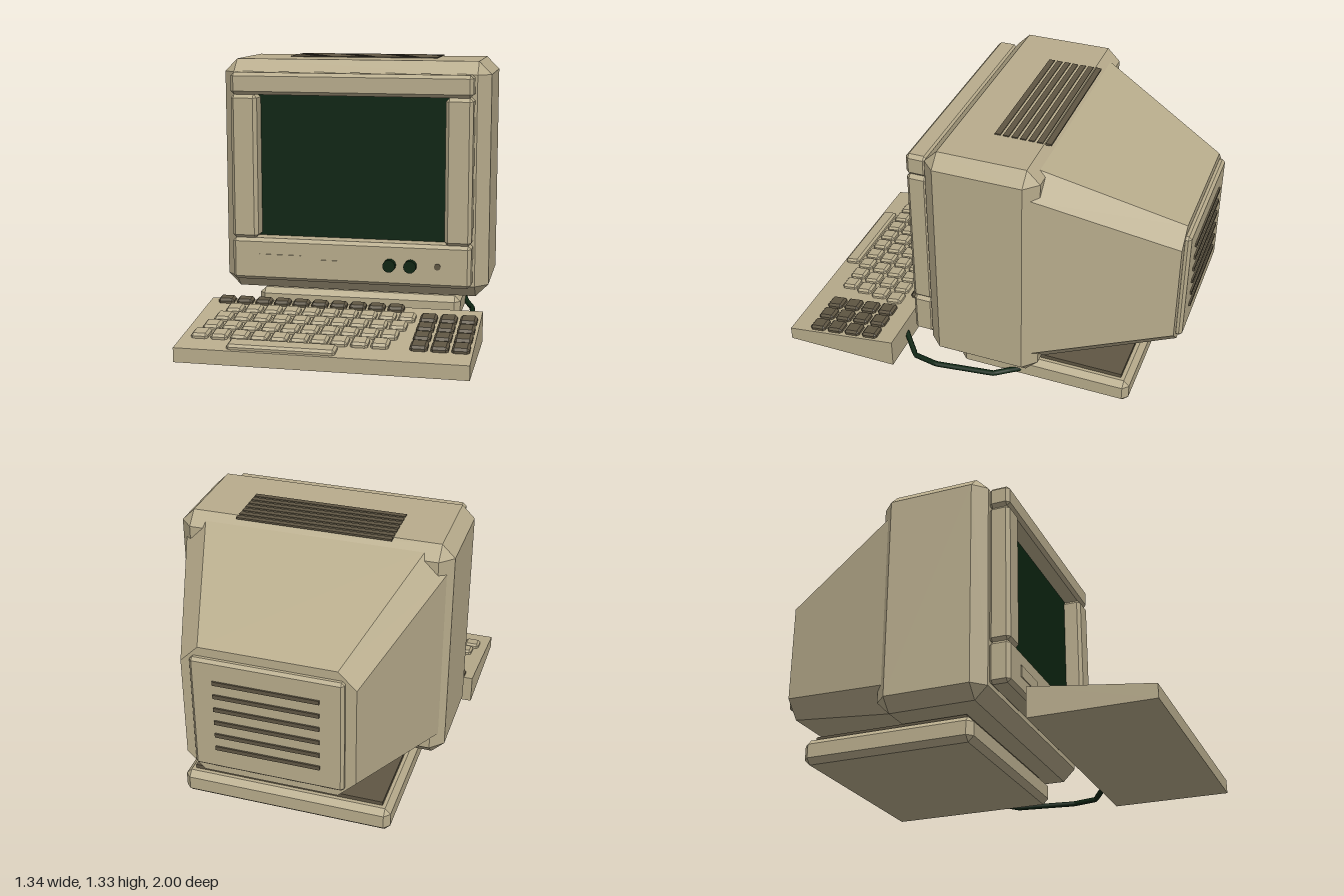
import * as THREE from 'three';
import { ConvexGeometry } from 'three/addons/geometries/ConvexGeometry.js';

const mat = (name, color) => {
  const m = new THREE.MeshStandardMaterial({ color });
  m.name = name;
  return m;
};
const hull = (pts) => new ConvexGeometry(pts.map((p) => new THREE.Vector3(...p)));

// Box with every edge bevelled by c
function bevelBox(w, h, d, c) {
  const pts = [];
  for (const sx of [-1, 1]) for (const sy of [-1, 1]) for (const sz of [-1, 1]) {
    const x = w / 2, y = h / 2, z = d / 2;
    pts.push([sx * x, sy * (y - c), sz * (z - c)]);
    pts.push([sx * (x - c), sy * y, sz * (z - c)]);
    pts.push([sx * (x - c), sy * (y - c), sz * z]);
  }
  return hull(pts);
}

// Octagonal outline at depth z, corners cut by c
function octagon(x, y0, y1, c, z) {
  const pts = [];
  for (const s of [-1, 1]) {
    pts.push([s * x, y0 + c, z], [s * (x - c), y0, z], [s * x, y1 - c, z], [s * (x - c), y1, z]);
  }
  return pts;
}

export function createModel() {
  const beige = mat('beige plastic', 0xb8ac8c);
  const brown = mat('dark brown plastic', 0x5f5643);
  const green = mat('dark green', 0x0c2411);
  const model = new THREE.Group();
  model.name = 'desktopComputer';

  const add = (parent, name, geometry, material, x = 0, y = 0, z = 0) => {
    const mesh = new THREE.Mesh(geometry, material);
    mesh.name = name;
    mesh.position.set(x, y, z);
    parent.add(mesh);
    return mesh;
  };
  // Place a box by its limits, bevelled when c > 0
  const span = (parent, name, material, [x0, x1], [y0, y1], [z0, z1], c = 0) => {
    const s = [x1 - x0, y1 - y0, z1 - z0];
    const g = c ? bevelBox(...s, c) : new THREE.BoxGeometry(...s);
    return add(parent, name, g, material, (x0 + x1) / 2, (y0 + y1) / 2, (z0 + z1) / 2);
  };
  const group = (name) => {
    const g = new THREE.Group();
    g.name = name;
    model.add(g);
    return g;
  };

  // Stand
  const stand = group('stand');
  span(stand, 'standBase', beige, [-0.525, 0.525], [0, 0.125], [-0.787, 0.093], 0.028);
  span(stand, 'standPlate', brown, [-0.48, 0.48], [0.12, 0.145], [-0.74, 0.05]);
  span(stand, 'swivel', brown, [-0.35, 0.35], [0.14, 0.17], [-0.28, 0.02]);

  // Monitor case and tapering rear
  const monitor = group('monitor');
  span(monitor, 'case', beige, [-0.672, 0.672], [0.15, 1.32], [-0.35, 0.207], 0.063);
  add(monitor, 'rearHousing', hull([
    ...octagon(0.645, 0.18, 1.29, 0.105, -0.31),
    ...octagon(0.41, 0.325, 1.0, 0.085, -0.963),
  ]), beige);
  span(monitor, 'rearPanel', beige, [-0.36, 0.36], [0.37, 0.957], [-0.992, -0.95], 0.014);
  for (let i = 0; i < 6; i++) {
    const y = 0.488 + i * 0.0714;
    span(monitor, 'rearSlot', brown, [-0.25, 0.25], [y - 0.01, y + 0.01], [-1, -0.991]);
  }
  for (let i = 0; i < 7; i++) {
    const z = -0.06 - i * 0.0412;
    span(monitor, 'topVent', brown, [-0.38, 0.38], [1.316, 1.325], [z - 0.014, z + 0.014]);
  }

  // Screen and the four bars around it
  span(monitor, 'screen', green, [-0.5, 0.5], [0.42, 1.17], [0.2, 0.22]);
  const depth = [0.203, 0.31];
  span(monitor, 'topBezel', beige, [-0.6, 0.6], [1.153, 1.262], depth, 0.017);
  span(monitor, 'bottomBezel', beige, [-0.6, 0.6], [0.223, 0.436], depth, 0.017);
  for (const s of [-1, 1]) {
    const x = s < 0 ? [-0.6, -0.468] : [0.468, 0.6];
    span(monitor, 'sideBezel', beige, x, [0.434, 1.153], depth, 0.017);
  }

  // Front controls
  span(monitor, 'controlCover', beige, [-0.46, -0.245], [0.3, 0.357], [0.307, 0.315]);
  span(monitor, 'powerLabel', beige, [-0.148, -0.06], [0.321, 0.339], [0.307, 0.315]);
  const knob = (name, x, r, z1, material) => {
    const g = new THREE.CylinderGeometry(r, r, z1 - 0.3, 16).rotateX(Math.PI / 2);
    add(monitor, name, g, material, x, 0.33, (z1 + 0.3) / 2);
  };
  knob('knob', 0.202, 0.031, 0.344, green);
  knob('knob', 0.305, 0.031, 0.344, green);
  knob('button', 0.437, 0.016, 0.316, brown);

  // Keyboard wedge
  const keyboard = group('keyboard');
  const wedge = [];
  for (const x of [-0.672, 0.672]) {
    wedge.push([x, 0, 1], [x, 0.068, 1], [x, 0, 0.413], [x, 0.148, 0.413]);
  }
  add(keyboard, 'keyboardCase', hull(wedge), beige);

  // Keys follow the slope of the wedge
  const tilt = Math.atan2(0.08, 0.587);
  const key = (name, geometry, material, x, z) => {
    const y = 0.068 + (1 - z) * 0.1363;
    add(keyboard, name, geometry, material, x, y, z).rotation.x = tilt;
  };
  const keyCap = bevelBox(0.08, 0.046, 0.084, 0.011);
  const shortCap = bevelBox(0.08, 0.046, 0.063, 0.011);
  const rows = [[-0.513, 0.55], [-0.538, 0.65], [-0.562, 0.75], [-0.586, 0.848]];
  for (let i = 0; i < 10; i++) {
    key('functionKey', shortCap, brown, -0.586 + i * 0.0938, 0.446);
    for (const [x, z] of rows) key('key', keyCap, beige, x + i * 0.0934, z);
  }
  for (const [, z] of rows) {
    for (const x of [0.43, 0.524, 0.618]) key('keypadKey', keyCap, brown, x, z);
  }
  key('spaceBar', bevelBox(0.5, 0.046, 0.08, 0.011), beige, -0.178, 0.946);

  // Cable from keyboard to stand
  const path = new THREE.CurvePath();
  const points = [
    [0.48, 0.065, 0.42], [0.585, 0.022, 0.325], [0.607, 0.02, 0.2],
    [0.57, 0.022, -0.1], [0.535, 0.035, -0.17], [0.505, 0.056, -0.25],
  ].map((p) => new THREE.Vector3(...p));
  for (let i = 1; i < points.length; i++) path.add(new THREE.LineCurve3(points[i - 1], points[i]));
  add(model, 'cable', new THREE.TubeGeometry(path, 40, 0.014, 8), green);

  return model;
}
